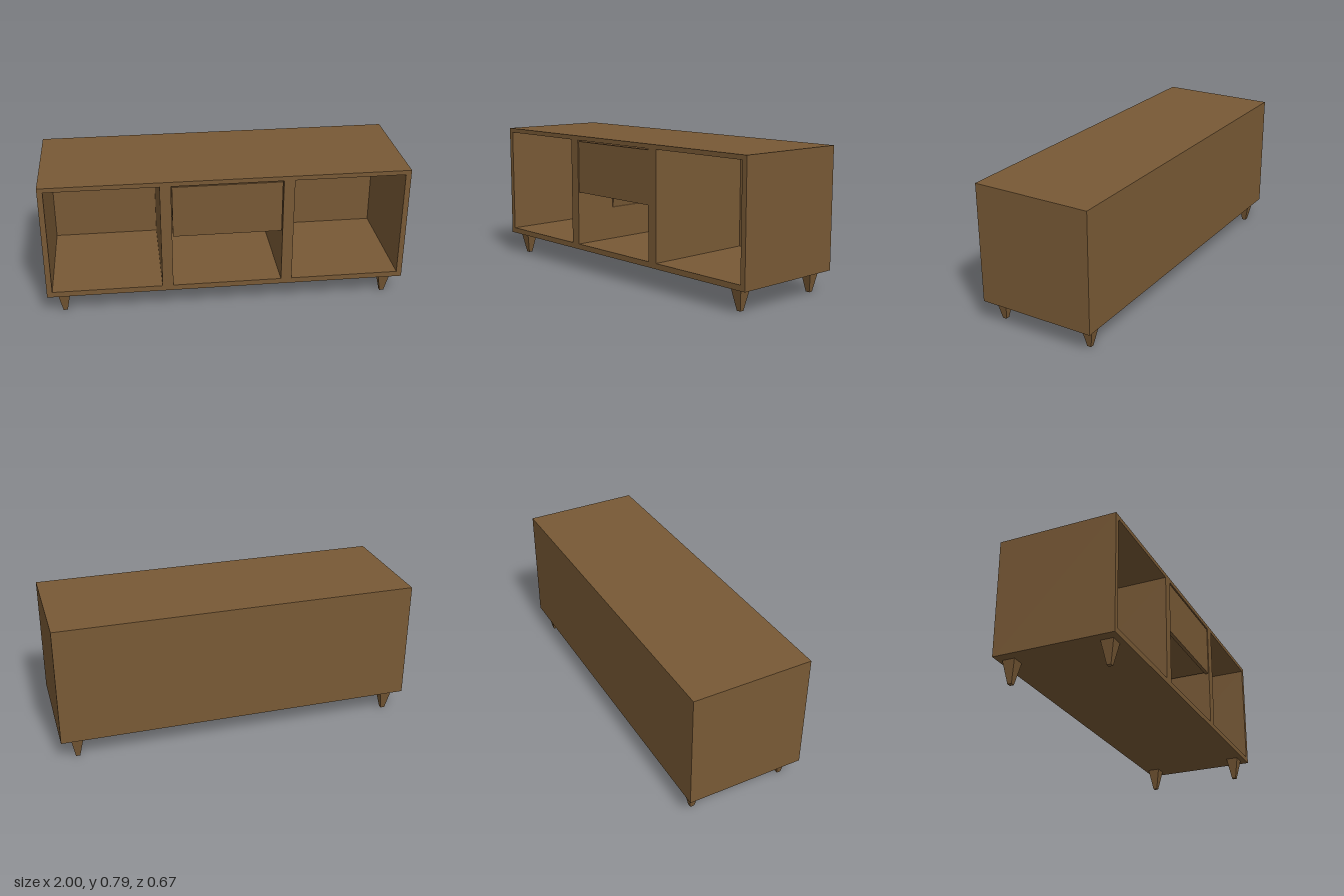
import * as THREE from 'three';

const wood = new THREE.MeshStandardMaterial({ color: 0x785935 });
wood.name = 'brown wood';

const BOTTOM = 0.123, TOP = 0.787, HALF_DEPTH = 0.333, BACK = 0.014;

export function createModel() {
  const group = new THREE.Group();
  group.name = 'sideboard';

  const add = (name, geometry, x, y, z, parent = group) => {
    const mesh = new THREE.Mesh(geometry, wood);
    mesh.name = name;
    mesh.position.set(x, y, z);
    parent.add(mesh);
    return mesh;
  };
  // box given by its limits on each axis
  const box = (name, x0, x1, y0, y1, z0, z1, parent) =>
    add(name, new THREE.BoxGeometry(x1 - x0, y1 - y0, z1 - z0),
      (x0 + x1) / 2, (y0 + y1) / 2, (z0 + z1) / 2, parent);
  const rect = (path, x0, x1, y0, y1) =>
    path.moveTo(x0, y0).lineTo(x1, y0).lineTo(x1, y1).lineTo(x0, y1).closePath();

  // carcass: outer case and dividers with three open compartments
  const outline = rect(new THREE.Shape(), -1, 1, BOTTOM, TOP);
  for (const [x0, x1] of [[-0.97, -0.363], [-0.303, 0.303], [0.363, 0.97]]) {
    outline.holes.push(rect(new THREE.Path(), x0, x1, 0.154, 0.762));
  }
  add('carcass', new THREE.ExtrudeGeometry(outline,
    { depth: 2 * HALF_DEPTH - BACK, bevelEnabled: false }), 0, 0, -HALF_DEPTH + BACK);
  box('backPanel', -1, 1, BOTTOM, TOP, -HALF_DEPTH, -HALF_DEPTH + BACK);

  // drawer in the upper half of the middle compartment
  const drawer = new THREE.Group();
  drawer.name = 'drawer';
  group.add(drawer);
  box('drawerFront', -0.298, 0.298, 0.46, 0.755, 0.31, 0.33, drawer);
  box('drawerBottom', -0.29, 0.29, 0.465, 0.48, -0.3, 0.31, drawer);
  box('drawerBack', -0.29, 0.29, 0.48, 0.73, -0.3, -0.285, drawer);
  for (const s of [-1, 1]) {
    const a = s * 0.29, b = s * 0.275;
    box('drawerSide', Math.min(a, b), Math.max(a, b), 0.48, 0.73, -0.285, 0.31, drawer);
  }

  // slim tapered runners carrying the drawer on the dividers
  const runnerShape = new THREE.Shape([[0, 0.34], [0.006, 0.35], [0.013, 0.41], [0.013, 0.465], [0, 0.465]]
    .map(([x, y]) => new THREE.Vector2(x, y)));
  for (const s of [-1, 1]) {
    const geometry = new THREE.ExtrudeGeometry(runnerShape, { depth: 0.38, bevelEnabled: false });
    const runner = add('drawerRunner', geometry, s * 0.303, 0, s < 0 ? -0.3 : 0.08);
    if (s > 0) runner.rotation.y = Math.PI;
  }

  // square tapered legs
  const legGeometry = new THREE.CylinderGeometry(0.035 * Math.SQRT2, 0.0115 * Math.SQRT2, BOTTOM, 4, 1)
    .rotateY(Math.PI / 4).toNonIndexed();
  legGeometry.computeVertexNormals();
  for (const x of [-0.91, 0.91]) {
    for (const z of [-0.274, 0.266]) add('leg', legGeometry, x, BOTTOM / 2, z);
  }
  return group;
}
